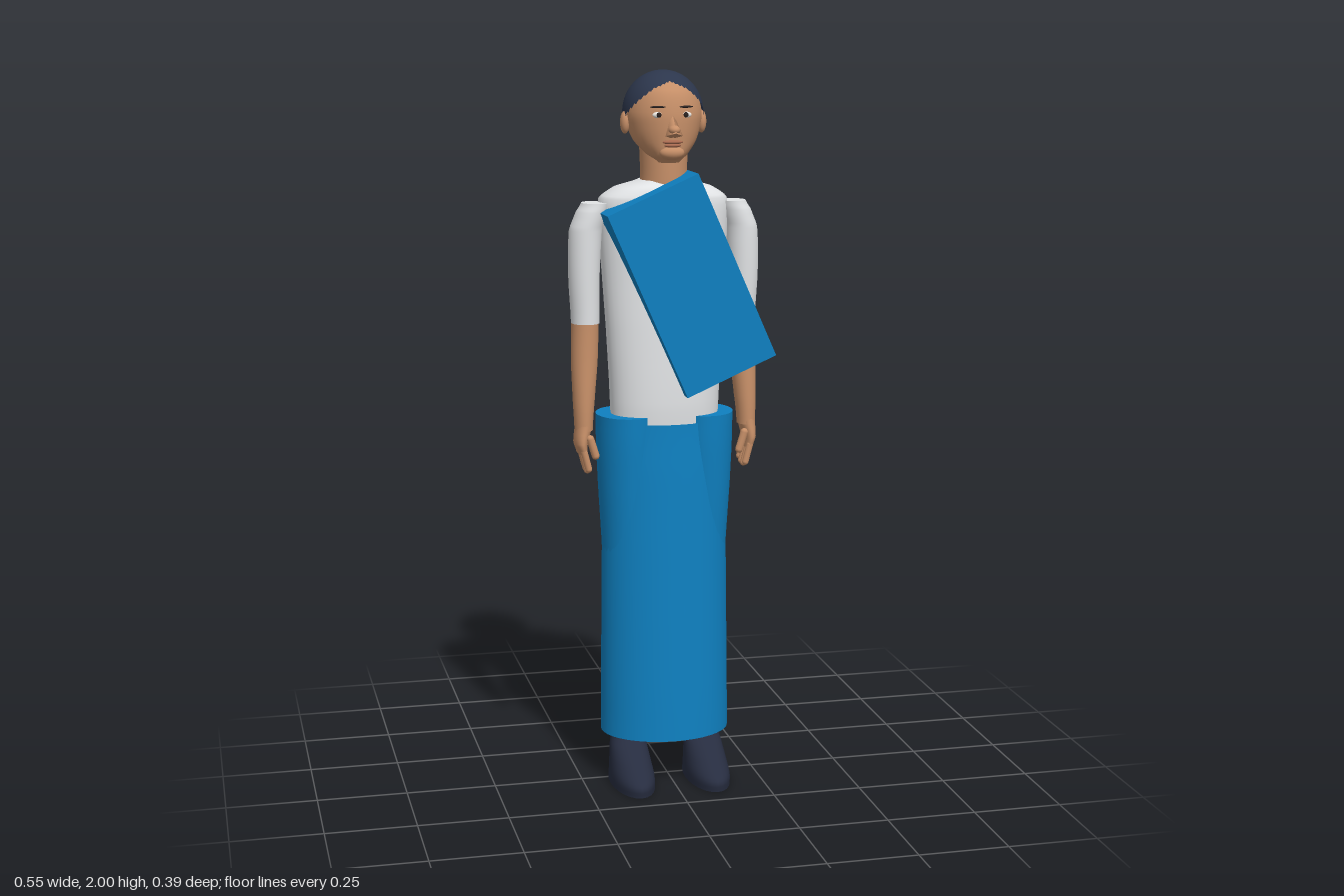
import * as THREE from 'three';

const mat = (name, color, side = THREE.FrontSide) => {
  const m = new THREE.MeshStandardMaterial({ color, side });
  m.name = name;
  return m;
};

// Smooth skin over oval cross-sections [y, halfWidth, zFront, zBack, xCentre], listed from bottom to top
function loft(sections, { steps = 4, segs = 32, caps = true, side = 1, power = 2 } = {}) {
  const rows = [];
  const n = sections.length - 1;
  const get = (i, k) => sections[Math.min(n, Math.max(0, i))][k] ?? 0;
  for (let s = 0; s <= n * steps; s++) {
    const i = Math.min(n - 1, Math.floor(s / steps));
    const t = s / steps - i;
    rows.push([0, 1, 2, 3, 4].map((k) => {
      const a = get(i, k), b = get(i + 1, k);
      if (k === 0) return a + (b - a) * t;
      const m0 = (b - get(i - 1, k)) / 2, m1 = (get(i + 2, k) - a) / 2;
      const t2 = t * t, t3 = t2 * t;
      return a * (2 * t3 - 3 * t2 + 1) + m0 * (t3 - 2 * t2 + t) + b * (3 * t2 - 2 * t3) + m1 * (t3 - t2);
    }));
  }
  const pos = [], idx = [];
  const bend = (v) => Math.sign(v) * Math.abs(v) ** (2 / power);
  const ring = ([y, rx, zf, zb, cx]) => {
    for (let j = 0; j < segs; j++) {
      const a = (j / segs) * Math.PI * 2;
      pos.push(cx * side + rx * bend(Math.sin(a)), y, (zf + zb) / 2 + ((zf - zb) / 2) * bend(Math.cos(a)));
    }
  };
  rows.forEach(ring);
  for (let r = 0; r < rows.length - 1; r++) {
    for (let j = 0; j < segs; j++) {
      const a = r * segs + j, b = r * segs + ((j + 1) % segs);
      idx.push(a, b, b + segs, a, b + segs, a + segs);
    }
  }
  if (caps) {
    [rows[0], rows[rows.length - 1]].forEach((row, top) => {
      const start = pos.length / 3;
      ring(row);
      pos.push(row[4] * side, row[0], (row[2] + row[3]) / 2);
      for (let j = 0; j < segs; j++) {
        const a = start + j, b = start + ((j + 1) % segs);
        idx.push(...(top ? [a, b, start + segs] : [b, a, start + segs]));
      }
    });
  }
  const g = new THREE.BufferGeometry();
  g.setAttribute('position', new THREE.Float32BufferAttribute(pos, 3));
  g.setIndex(idx);
  g.computeVertexNormals();
  return g;
}

// Hair dome whose lower edge follows a hairline: high at the forehead, low at the nape
function hairGeometry() {
  const g = new THREE.SphereGeometry(1, 48, 20);
  const p = g.attributes.position, uv = g.attributes.uv;
  const line = [42, 55, 80, 104, 112, 116, 118];
  for (let i = 0; i < p.count; i++) {
    const phi = uv.getX(i) * Math.PI * 2;
    const d = Math.acos(Math.cos(phi)) / (Math.PI / 6);
    const k = Math.min(5, Math.floor(d));
    const end = THREE.MathUtils.degToRad(line[k] + (line[k + 1] - line[k]) * (d - k));
    const th = (1 - uv.getY(i)) * end;
    p.setXYZ(i, 0.11 * Math.sin(th) * Math.sin(phi), 0.115 * Math.cos(th), 0.125 * Math.sin(th) * Math.cos(phi));
  }
  // The sphere grid runs the other way round, so turn its faces outward
  const ix = g.index.array;
  const a = new THREE.Vector3(), b = new THREE.Vector3(), c = new THREE.Vector3();
  for (let i = 0; i < ix.length; i += 3) {
    a.fromBufferAttribute(p, ix[i]); b.fromBufferAttribute(p, ix[i + 1]); c.fromBufferAttribute(p, ix[i + 2]);
    const normal = b.clone().sub(a).cross(c.clone().sub(a));
    if (normal.dot(a) < 0) [ix[i + 1], ix[i + 2]] = [ix[i + 2], ix[i + 1]];
  }
  g.computeVertexNormals();
  return g;
}

export function createModel() {
  const model = new THREE.Group();
  model.name = 'standingWoman';
  const person = new THREE.Group();
  person.name = 'person';
  person.position.x = -0.007;
  model.add(person);

  const skin = mat('skin', 0xc68f68);
  const hair = mat('hair', 0x2c364c, THREE.DoubleSide);
  const shoe = mat('shoe leather', 0x272d40);
  const shirt = mat('shirt white', 0xe2e4e6);
  const blue = mat('blue cloth', 0x0f80c0, THREE.DoubleSide);
  const eyeWhite = mat('eye white', 0xe8e4de);
  const dark = mat('iris dark', 0x2a2220);
  const lip = mat('lip', 0xa86a50);

  const add = (name, geo, material, x = 0, y = 0, z = 0, parent = person) => {
    const m = new THREE.Mesh(geo, material);
    m.name = name;
    m.position.set(x, y, z);
    parent.add(m);
    return m;
  };
  const ball = (name, material, x, y, z, sx, sy, sz) => {
    const m = add(name, new THREE.SphereGeometry(1, 24, 16), material, x, y, z);
    m.scale.set(sx, sy, sz);
    return m;
  };

  // Shirt body and neck
  add('shirtBody', loft([
    [1.0, 0.15, 0.093, -0.108], [1.1, 0.153, 0.098, -0.108], [1.3, 0.163, 0.092, -0.106],
    [1.45, 0.172, 0.085, -0.115], [1.58, 0.18, 0.083, -0.127], [1.655, 0.178, 0.08, -0.127],
    [1.685, 0.135, 0.07, -0.115], [1.705, 0.068, 0.055, -0.09],
  ], { segs: 40, power: 2.2 }), shirt);
  add('neck', loft([[1.66, 0.068, 0.062, -0.088], [1.72, 0.064, 0.062, -0.086], [1.8, 0.066, 0.06, -0.088]]), skin);

  // Head with nose, mouth and chin
  add('head', loft([
    [1.755, 0.03, 0.078, 0.01], [1.775, 0.055, 0.098, -0.05], [1.81, 0.084, 0.1, -0.1],
    [1.85, 0.099, 0.102, -0.128], [1.89, 0.104, 0.1, -0.135], [1.94, 0.09, 0.086, -0.12],
    [1.975, 0.06, 0.055, -0.085], [1.99, 0.02, 0.01, -0.04],
  ]), skin);
  const nose = add('nose', new THREE.ConeGeometry(0.024, 0.07, 4), skin, 0, 1.862, 0.103);
  nose.rotation.x = -0.35;
  ball('noseTip', skin, 0, 1.845, 0.115, 0.016, 0.013, 0.02);
  ball('chin', skin, 0, 1.783, 0.087, 0.034, 0.02, 0.022);
  ball('upperLip', lip, 0, 1.812, 0.097, 0.028, 0.006, 0.009);
  ball('lowerLip', lip, 0, 1.803, 0.096, 0.023, 0.006, 0.009);

  // Hair cap and bun
  add('hair', hairGeometry(), hair, 0, 1.885, -0.022);
  ball('bun', hair, 0, 1.845, -0.142, 0.052, 0.047, 0.05);

  // Skirt, open at both ends
  add('skirt', loft([
    [0.14, 0.183, 0.137, -0.153], [0.45, 0.18, 0.126, -0.144], [0.7, 0.177, 0.116, -0.135],
    [0.9, 0.172, 0.108, -0.124], [1.04, 0.165, 0.101, -0.115],
  ], { caps: false, segs: 40 }), blue);

  for (const side of [1, -1]) {
    const prefix = side > 0 ? 'left' : 'right';
    const opt = { side };

    // Face details
    ball(prefix + 'Eye', eyeWhite, side * 0.037, 1.884, 0.089, 0.017, 0.0085, 0.007);
    ball(prefix + 'Iris', dark, side * 0.037, 1.884, 0.094, 0.007, 0.007, 0.004);
    const brow = ball(prefix + 'Eyebrow', dark, side * 0.039, 1.905, 0.089, 0.021, 0.003, 0.005);
    brow.rotation.y = side * 0.3;
    ball(prefix + 'Ear', skin, side * 0.107, 1.86, -0.015, 0.013, 0.031, 0.019);

    // Sleeve and bare forearm
    add(prefix + 'Sleeve', loft([
      [1.315, 0.039, 0.033, -0.058, 0.221], [1.45, 0.043, 0.038, -0.06, 0.224],
      [1.57, 0.045, 0.041, -0.062, 0.219], [1.62, 0.042, 0.041, -0.06, 0.203],
      [1.645, 0.036, 0.038, -0.055, 0.194],
    ], opt), shirt);
    add(prefix + 'Forearm', loft([
      [1.02, 0.025, 0.044, -0.026, 0.232], [1.1, 0.03, 0.042, -0.036, 0.23],
      [1.22, 0.037, 0.034, -0.052, 0.225], [1.33, 0.037, 0.03, -0.055, 0.222],
    ], opt), skin);

    // Hand with fingers and thumb
    add(prefix + 'Palm', loft([
      [0.955, 0.014, 0.046, -0.038, 0.236], [0.985, 0.019, 0.05, -0.04, 0.24], [1.035, 0.024, 0.044, -0.026, 0.232],
    ], opt), skin);
    for (let f = 0; f < 4; f++) {
      const finger = add(prefix + 'Finger', new THREE.CapsuleGeometry(0.0095, 0.05, 4, 10), skin,
        side * 0.23, [0.938, 0.931, 0.933, 0.942][f], 0.038 - f * 0.022);
      finger.rotation.z = -side * 0.25;
    }
    const thumb = add(prefix + 'Thumb', new THREE.CapsuleGeometry(0.011, 0.05, 4, 10), skin, side * 0.212, 0.975, 0.04);
    thumb.rotation.z = -side * 0.3;

    // Trouser leg, wider than the skirt at the hip
    add(prefix + 'TrouserLeg', loft([
      [0.11, 0.046, 0.035, -0.055, 0.109], [0.4, 0.058, 0.05, -0.075, 0.108],
      [0.7, 0.072, 0.075, -0.095, 0.106], [0.92, 0.083, 0.093, -0.108, 0.107], [1.06, 0.085, 0.1, -0.114, 0.108],
    ], opt), blue);

    // Shoe
    add(prefix + 'Shoe', loft([
      [0, 0.061, 0.192, -0.09, 0.109], [0.03, 0.06, 0.192, -0.085, 0.109], [0.06, 0.057, 0.145, -0.077, 0.109],
      [0.095, 0.053, 0.085, -0.064, 0.109], [0.125, 0.048, 0.04, -0.05, 0.109],
    ], { side, segs: 24 }), shoe);
  }

  // Slanted box bundle across the chest
  const bundle = add('chestBundle', new THREE.BoxGeometry(0.272, 0.547, 0.145), blue, 0.041, 1.425, 0.0625, model);
  bundle.rotation.z = THREE.MathUtils.degToRad(23.8);

  return model;
}
